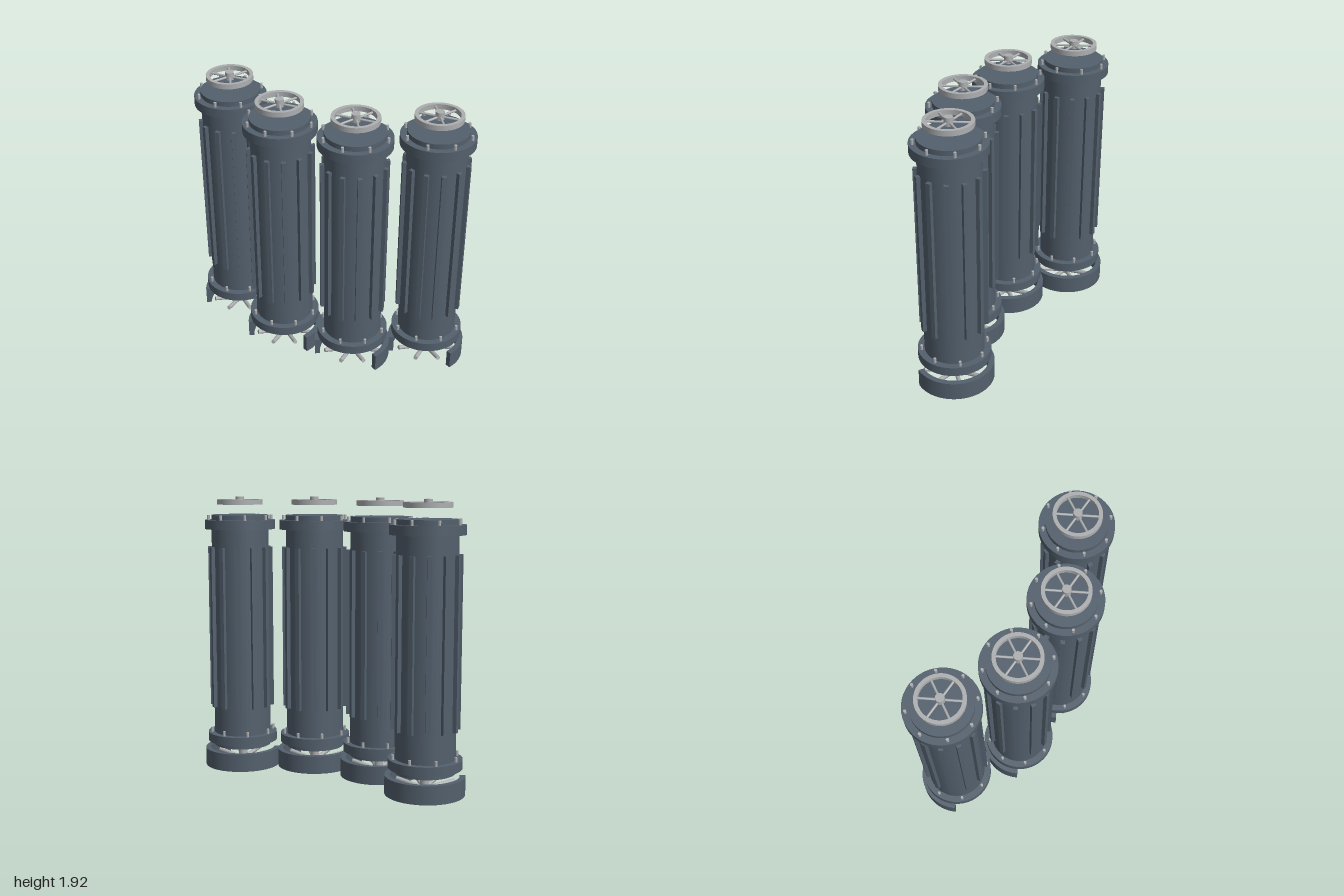
import * as THREE from 'three';

const dark = new THREE.MeshStandardMaterial({ color: 0x53606d });
dark.name = 'slateMetal';
const light = new THREE.MeshStandardMaterial({ color: 0xadafb1 });
light.name = 'paleSteel';

function add(parent, name, geometry, material, x = 0, y = 0, z = 0) {
  const mesh = new THREE.Mesh(geometry, material);
  mesh.name = name;
  mesh.position.set(x, y, z);
  parent.add(mesh);
  return mesh;
}

// Calls make(angle) for n evenly spaced angles
function around(n, make) {
  for (let i = 0; i < n; i++) make((i / n) * Math.PI * 2);
}

// Upright cylinder between two heights
function drum(parent, name, r, y0, y1, material, sides = 48) {
  return add(parent, name, new THREE.CylinderGeometry(r, r, y1 - y0, sides), material, 0, (y0 + y1) / 2, 0);
}

// Round bar between two points
function bar(parent, name, a, b, r, material) {
  const dir = b.clone().sub(a);
  const mesh = add(parent, name, new THREE.CylinderGeometry(r, r, dir.length(), 10), material);
  mesh.position.copy(a).add(b).multiplyScalar(0.5);
  mesh.quaternion.setFromUnitVectors(new THREE.Vector3(0, 1, 0), dir.normalize());
}

// Flat ring or ring segment lying in the ground plane, extruded upward
function ringGeometry(outer, inner, height, start, end) {
  const shape = new THREE.Shape();
  shape.absarc(0, 0, outer, start, end, false);
  if (end - start < Math.PI * 2) {
    shape.absarc(0, 0, inner, end, start, true);
    shape.closePath();
  } else {
    const hole = new THREE.Path();
    hole.absarc(0, 0, inner, 0, Math.PI * 2, true);
    shape.holes.push(hole);
  }
  const g = new THREE.ExtrudeGeometry(shape, { depth: height, bevelEnabled: false, curveSegments: 48 });
  return g.rotateX(-Math.PI / 2);
}

const polar = (r, a, y) => new THREE.Vector3(Math.sin(a) * r, y, Math.cos(a) * r);

function createColumn() {
  const column = new THREE.Group();

  // Main cylinder with two bolted flanges
  drum(column, 'body', 0.2, 0.145, 1.79, dark);
  for (const [name, y0, y1] of [['lowerFlange', 0.177, 0.24], ['upperFlange', 1.692, 1.756]]) {
    drum(column, name, 0.245, y0, y1, dark);
    around(8, (a) => {
      const p = polar(0.221, a, y1 + 0.016);
      add(column, 'bolt', new THREE.CylinderGeometry(0.01, 0.01, 0.036, 8), light, p.x, p.y, p.z);
    });
  }

  // Vertical ribs
  around(12, (a) => {
    const p = polar(0.21, a, 1.0);
    add(column, 'rib', new THREE.BoxGeometry(0.03, 1.135, 0.032), dark, p.x, p.y, p.z).rotation.y = a;
  });

  // Spoked wheel above the cap
  add(column, 'wheelRim', ringGeometry(0.158, 0.133, 0.035, 0, Math.PI * 2), light, 0, 1.862, 0);
  drum(column, 'wheelHub', 0.029, 1.862, 1.916, light, 20);
  around(6, (a) => bar(column, 'wheelSpoke', polar(0.02, a + Math.PI / 2, 1.88), polar(0.14, a + Math.PI / 2, 1.88), 0.008, light));

  // Base collar, open to the front
  add(column, 'baseCollar', ringGeometry(0.265, 0.228, 0.125, -Math.PI / 6, Math.PI * 7 / 6), dark);

  // Hub and upward-tilted spokes inside the collar
  drum(column, 'baseHub', 0.03, 0.015, 0.126, light, 20);
  around(8, (a) => bar(column, 'baseSpoke', polar(0.01, a, 0.034), polar(0.208, a, 0.07), 0.015, light));

  return column;
}

export function createModel() {
  const model = new THREE.Group();
  model.name = 'columnRow';
  for (const side of [-1, 1]) {
    for (const [name, x, z] of [['outerColumn', 0.735, -0.11], ['innerColumn', 0.262, 0.12]]) {
      const column = createColumn();
      column.name = name;
      column.position.set(side * x, 0, z);
      model.add(column);
    }
  }
  return model;
}
